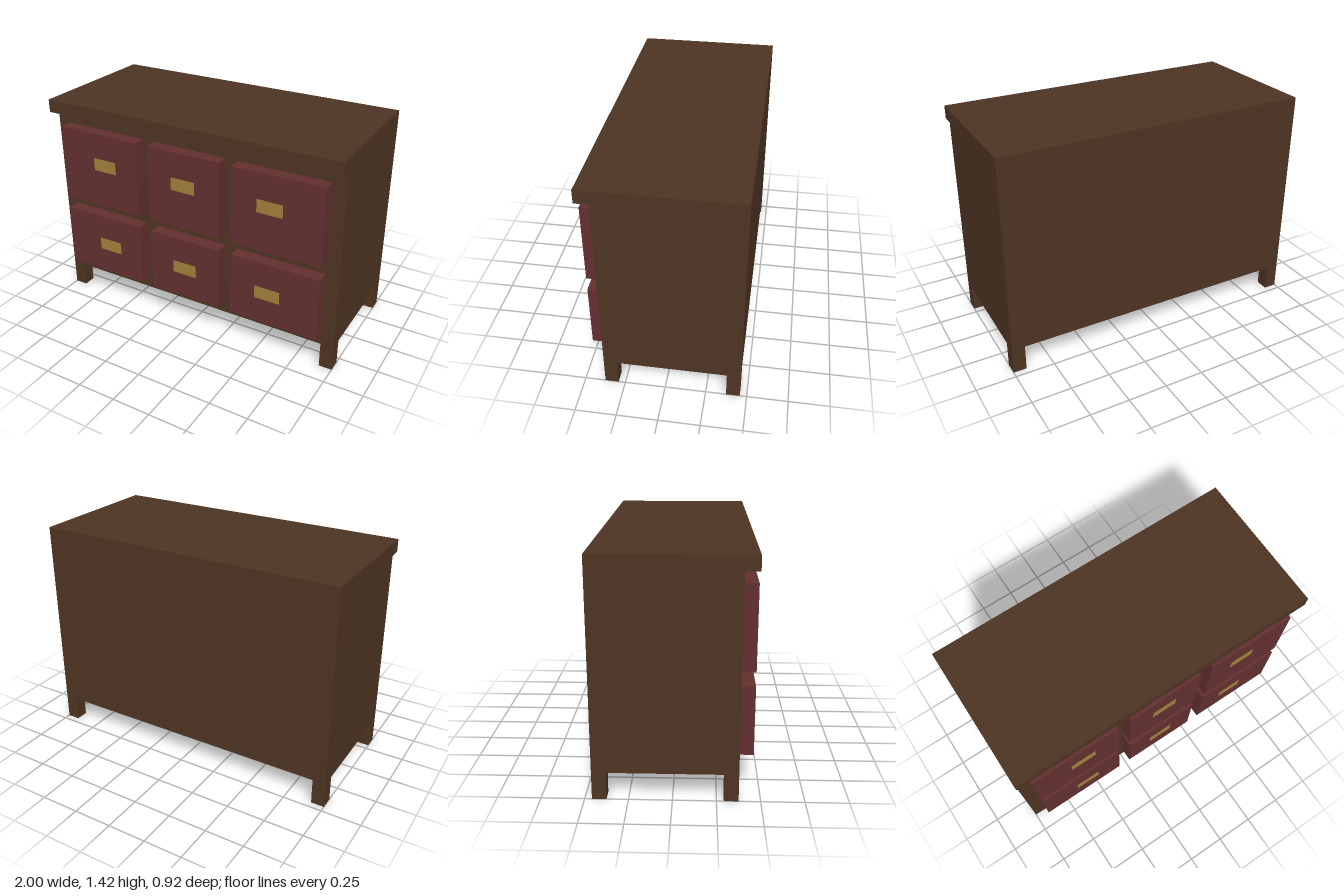
import * as THREE from 'three';

const U = 1 / 12; // grid unit: the dresser is 24 wide, 17 high, 11 deep

export function createModel() {
  const wood = new THREE.MeshStandardMaterial({ color: 0x4e3423 });
  wood.name = 'darkWood';
  const red = new THREE.MeshStandardMaterial({ color: 0x632f2f });
  red.name = 'redDrawer';
  const brass = new THREE.MeshStandardMaterial({ color: 0xa2823c });
  brass.name = 'brass';

  const model = new THREE.Group();
  model.name = 'dresser';

  // Box between two corners, given in grid units
  function box(name, material, [x0, y0, z0], [x1, y1, z1]) {
    const geometry = new THREE.BoxGeometry((x1 - x0) * U, (y1 - y0) * U, (z1 - z0) * U);
    const mesh = new THREE.Mesh(geometry, material);
    mesh.position.set((x0 + x1) / 2 * U, (y0 + y1) / 2 * U, (z0 + z1) / 2 * U);
    mesh.name = name;
    model.add(mesh);
  }

  // Carcass and overhanging top
  box('body', wood, [-12, 2, -5.5], [12, 16, 4.5]);
  box('top', wood, [-12, 16, -5.5], [12, 17, 5.5]);

  // Four square legs
  for (const x of [-12, 11]) {
    for (const z of [-5.5, 3.5]) box('leg', wood, [x, 0, z], [x + 1, 2, z + 1]);
  }

  // Drawers in two rows of three, each with a flat handle plate
  const columns = [[-11, -4, -8], [-3, 3, -1], [4, 11, 6]]; // left, right, handle start
  const rows = [[3, 8, 5], [9, 15, 12]]; // bottom, top, handle start
  for (const [x0, x1, hx] of columns) {
    for (const [y0, y1, hy] of rows) {
      box('drawer', red, [x0, y0, 4.5], [x1, y1, 5.5]);
      box('handle', brass, [hx, hy, 5.47], [hx + 2, hy + 1, 5.52]);
    }
  }
  return model;
}
